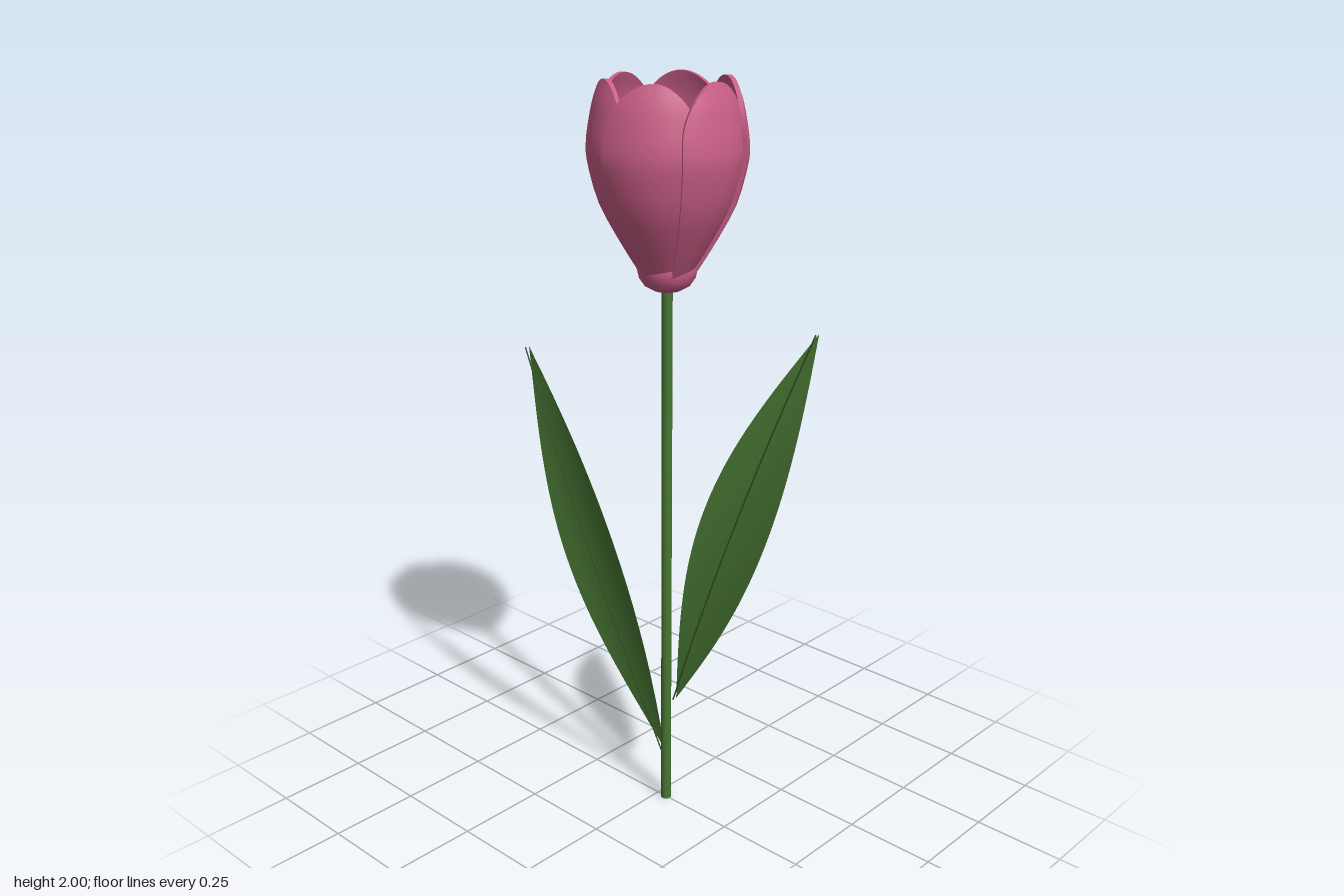
import * as THREE from 'three';
import { toCreasedNormals } from 'three/addons/utils/BufferGeometryUtils.js';

const STEM_X = 0.03;

const mat = (name, color, side = THREE.FrontSide) => {
  const m = new THREE.MeshStandardMaterial({ color, side });
  m.name = name;
  return m;
};

// Surface over a grid of points; rows run upward, columns run around
function gridGeometry(rows, cols, point) {
  const positions = [], index = [];
  for (let i = 0; i <= rows; i++)
    for (let j = 0; j <= cols; j++) positions.push(...point(i / rows, j / cols, j));
  for (let i = 0; i < rows; i++)
    for (let j = 0; j < cols; j++) {
      const a = i * (cols + 1) + j, b = a + cols + 1;
      index.push(a, b, b + 1, a, b + 1, a + 1);
    }
  const g = new THREE.BufferGeometry();
  g.setAttribute('position', new THREE.Float32BufferAttribute(positions, 3));
  g.setIndex(index);
  g.computeVertexNormals();
  return g;
}

// Outer petal radius against height
const profile = new THREE.SplineCurve([
  [0.066, 1.525], [0.112, 1.6], [0.165, 1.7], [0.192, 1.8],
  [0.194, 1.85], [0.187, 1.9], [0.176, 1.95], [0.158, 2.0],
].map(([r, y]) => new THREE.Vector2(r, y)));

// Thick petal: outer face, edge, inner face and edge form one closed loop per row
function petalGeometry() {
  const n = 16, thickness = 0.012;
  const g = gridGeometry(32, 2 * n + 2, (k, _, j) => {
    const v = 1 - (1 - k) ** 2;
    const p = profile.getPoint(v);
    const t = Math.max(0, ((p.y - 1.53) / 0.47 - 0.72) / 0.28);
    const half = THREE.MathUtils.degToRad(37) * Math.sqrt(Math.max(1e-5, 1 - t * t));
    const inner = j > n && j < 2 * n + 2;
    const u = inner ? 1 - 2 * (j - n - 1) / n : (j === 2 * n + 2 ? -1 : -1 + 2 * j / n);
    const a = u * half;
    // one side sits further out, so neighbours overlap like a pinwheel
    const r = p.x + 0.007 * a / 0.646 - (inner ? thickness : 0);
    return [r * Math.cos(a), p.y, r * Math.sin(a)];
  });
  return toCreasedNormals(g, 0.8);
}

// Leaf blade and midrib from base to tip; depth(t) gives z along its length
function makeLeaf(name, base, tip, depth, green, dark) {
  const leaf = new THREE.Group();
  leaf.name = name;
  const dir = new THREE.Vector2(tip[0] - base[0], tip[1] - base[1]);
  const side = new THREE.Vector2(-dir.y, dir.x).normalize();
  const blade = gridGeometry(40, 12, (t, s) => {
    const u = 1 - 2 * s;
    const w = 0.105 * Math.sin(Math.PI * t) * u;
    return [
      base[0] + dir.x * t + side.x * w,
      base[1] + dir.y * t + side.y * w,
      depth(t) + 1.2 * w * w,
    ];
  });
  // columns run left to right, so flip the winding to face the front
  const idx = blade.index.array;
  for (let i = 0; i < idx.length; i += 3) [idx[i], idx[i + 1]] = [idx[i + 1], idx[i]];
  blade.computeVertexNormals();
  const bladeMesh = new THREE.Mesh(blade, green);
  bladeMesh.name = 'leafBlade';

  const path = new THREE.CatmullRomCurve3([0, 0.25, 0.5, 0.75, 1].map(t =>
    new THREE.Vector3(base[0] + dir.x * t, base[1] + dir.y * t, depth(t) + 0.013)));
  const rib = new THREE.Mesh(new THREE.TubeGeometry(path, 32, 0.002, 6), dark);
  rib.name = 'leafMidrib';
  leaf.add(bladeMesh, rib);
  return leaf;
}

export function createModel() {
  const pink = mat('petal pink', 0xcc5f88);
  const stemGreen = mat('stem green', 0x477632);
  const leafGreen = mat('leaf green', 0x4a7a35, THREE.DoubleSide);
  const ribGreen = mat('midrib dark green', 0x2c4f20);
  const gold = mat('stamen gold', 0xc09a18);

  const model = new THREE.Group();
  model.name = 'tulip';
  const add = (parent, name, geometry, material, x = 0, y = 0, z = 0) => {
    const mesh = new THREE.Mesh(geometry, material);
    mesh.name = name;
    mesh.position.set(x, y, z);
    parent.add(mesh);
    return mesh;
  };

  // Stem
  add(model, 'stem', new THREE.CylinderGeometry(0.014, 0.014, 1.49, 20), stemGreen, STEM_X, 0.745);

  // Flower head
  const flower = new THREE.Group();
  flower.name = 'flower';
  flower.position.x = STEM_X;
  model.add(flower);

  const bowl = [[0, 1.478], [0.035, 1.482], [0.058, 1.495], [0.071, 1.514],
    [0.076, 1.535], [0.075, 1.55], [0.05, 1.553], [0, 1.555]];
  add(flower, 'receptacle', toCreasedNormals(new THREE.LatheGeometry(
    bowl.map(([r, y]) => new THREE.Vector2(r, y)), 40), 0.8), pink);

  // Petals and stamens, six of each
  const petal = petalGeometry();
  const filament = new THREE.CylinderGeometry(0.003, 0.003, 0.05, 8);
  const anther = new THREE.SphereGeometry(0.008, 14, 10);
  for (let i = 0; i < 6; i++) {
    const a = i * Math.PI / 3;
    add(flower, 'petal', petal, pink).rotation.y = a;
    const x = 0.047 * Math.cos(a), z = 0.047 * Math.sin(a);
    add(flower, 'filament', filament, gold, x, 1.575, z);
    add(flower, 'anther', anther, gold, x, 1.602, z);
  }

  // Leaves
  model.add(makeLeaf('leftLeaf', [0.04, 0.31], [0.38, 1.4],
    t => -0.03 - 0.02 * t - 0.12 * t * t, leafGreen, ribGreen));
  model.add(makeLeaf('rightLeaf', [0.028, 0.155], [-0.39, 1.27],
    t => 0.003 + 0.15 * t - 0.06 * t * t, leafGreen, ribGreen));

  return model;
}
